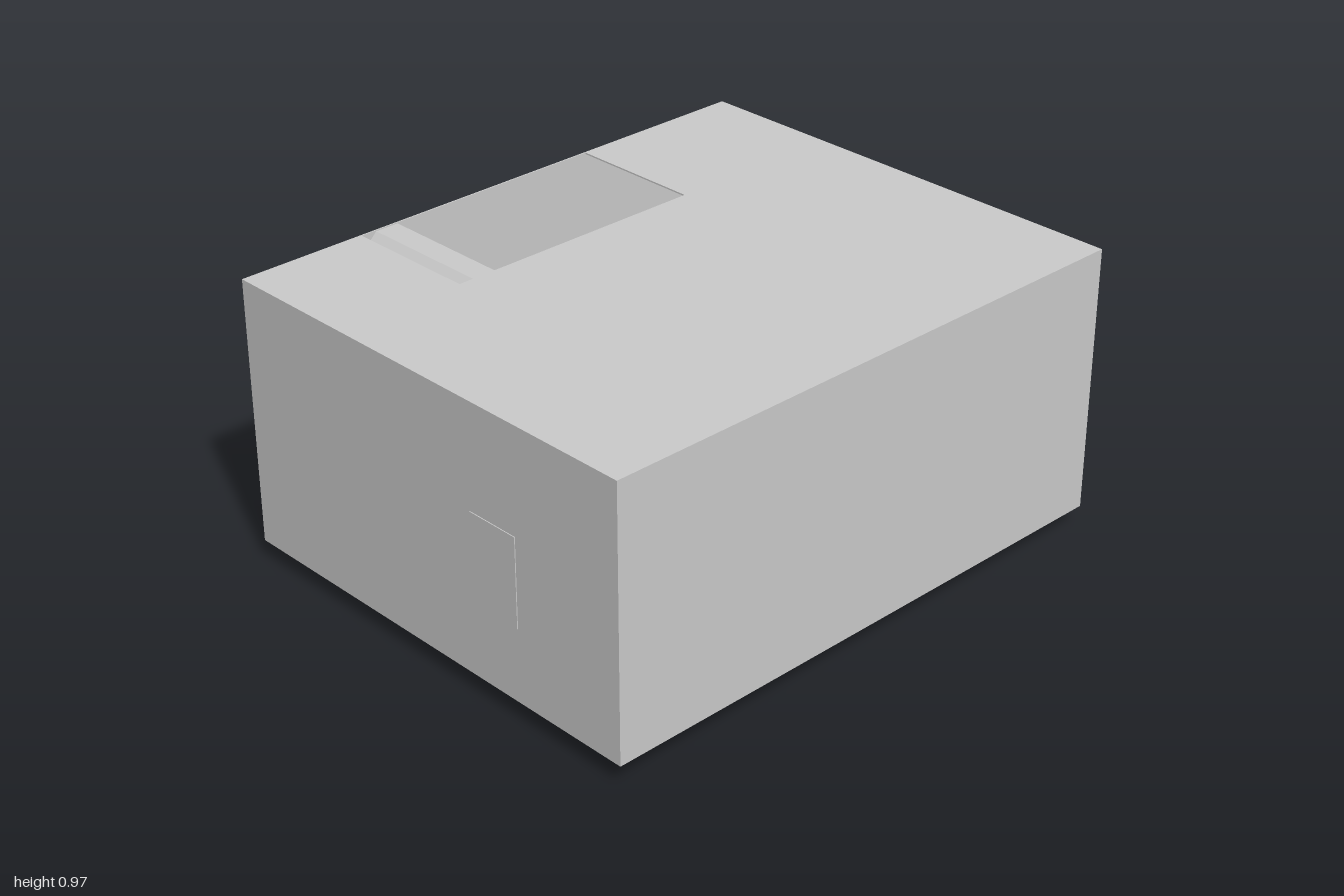
import * as THREE from 'three';

export function createModel() {
  const room = new THREE.Group();
  room.name = 'roomWithStairwell';
  const mat = new THREE.MeshStandardMaterial({ color: 0xcccccc, flatShading: true, side: THREE.DoubleSide });

  const add = (name, geo, x = 0, y = 0, z = 0, parent = room) => {
    const mesh = new THREE.Mesh(geo, mat);
    mesh.name = name;
    mesh.position.set(x, y, z);
    parent.add(mesh);
    return mesh;
  };
  const box = (w, h, d) => new THREE.BoxGeometry(w, h, d);
  const outline = (points) => new THREE.Shape(points.map(([x, y]) => new THREE.Vector2(x, y)));

  // Thin shell: floor, four walls
  const floorY = 0.07, topY = 0.973, halfX = 0.997, halfZ = 0.815, t = 0.005;
  const wallH = topY - floorY, midY = (topY + floorY) / 2;
  add('floor', box(2 * halfX, t, 2 * halfZ), 0, floorY + t / 2, 0);
  for (const s of [-1, 1]) {
    add(s > 0 ? 'leftWall' : 'rightWall', box(t, wallH, 2 * halfZ), s * (halfX - t / 2), midY, 0);
    add(s > 0 ? 'frontWall' : 'backWall', box(2 * halfX, wallH, t), 0, midY, s * (halfZ - t / 2));
  }

  // Ceiling with the stairwell notched out along the back wall
  const cx = halfX - t, cz = halfZ - t;
  const ceiling = new THREE.ExtrudeGeometry(outline([
    [-cx, -cz], [cx, -cz], [cx, cz], [0.365, cz], [0.365, 0.345], [-0.555, 0.345], [-0.555, cz], [-cx, cz],
  ]), { depth: t, bevelEnabled: false });
  ceiling.rotateX(-Math.PI / 2);
  add('ceiling', ceiling, 0, topY - t, 0);

  // Folded staircase: a zigzag given thickness along the diagonal
  const steps = 11, run = 0.0835, rise = 0.0827, shift = 0.047;
  const zigzag = [];
  for (let i = 0; i < steps; i++) {
    const y = 0.97 - i * rise;
    zigzag.push([-0.5 + i * run, y], [-0.5 + (i + 1) * run, y]);
  }
  zigzag.push([-0.5 + steps * run, 0.97 - steps * rise]);
  const underside = zigzag.map(([x, y]) => [x - shift, y - shift]).reverse();
  add('staircase', new THREE.ExtrudeGeometry(outline([...zigzag, ...underside]), {
    depth: 0.47, bevelEnabled: false,
  }), 0, 0, -0.814);

  // Shallow panel on the right wall
  add('wallPanel', box(0.01, 0.3, 0.19), -0.995, 0.47, 0.305);

  // Table whose legs reach through the floor
  const table = new THREE.Group();
  table.name = 'table';
  table.position.set(-0.105, 0, 0.185);
  room.add(table);
  add('tableTop', box(0.76, 0.03, 0.5), 0, 0.385, 0, table);
  for (const x of [-0.33, 0.33]) {
    for (const z of [-0.2, 0.2]) {
      add('tableLeg', new THREE.CylinderGeometry(0.022, 0.022, 0.37, 8), x, 0.185, z, table);
    }
  }
  return room;
}
